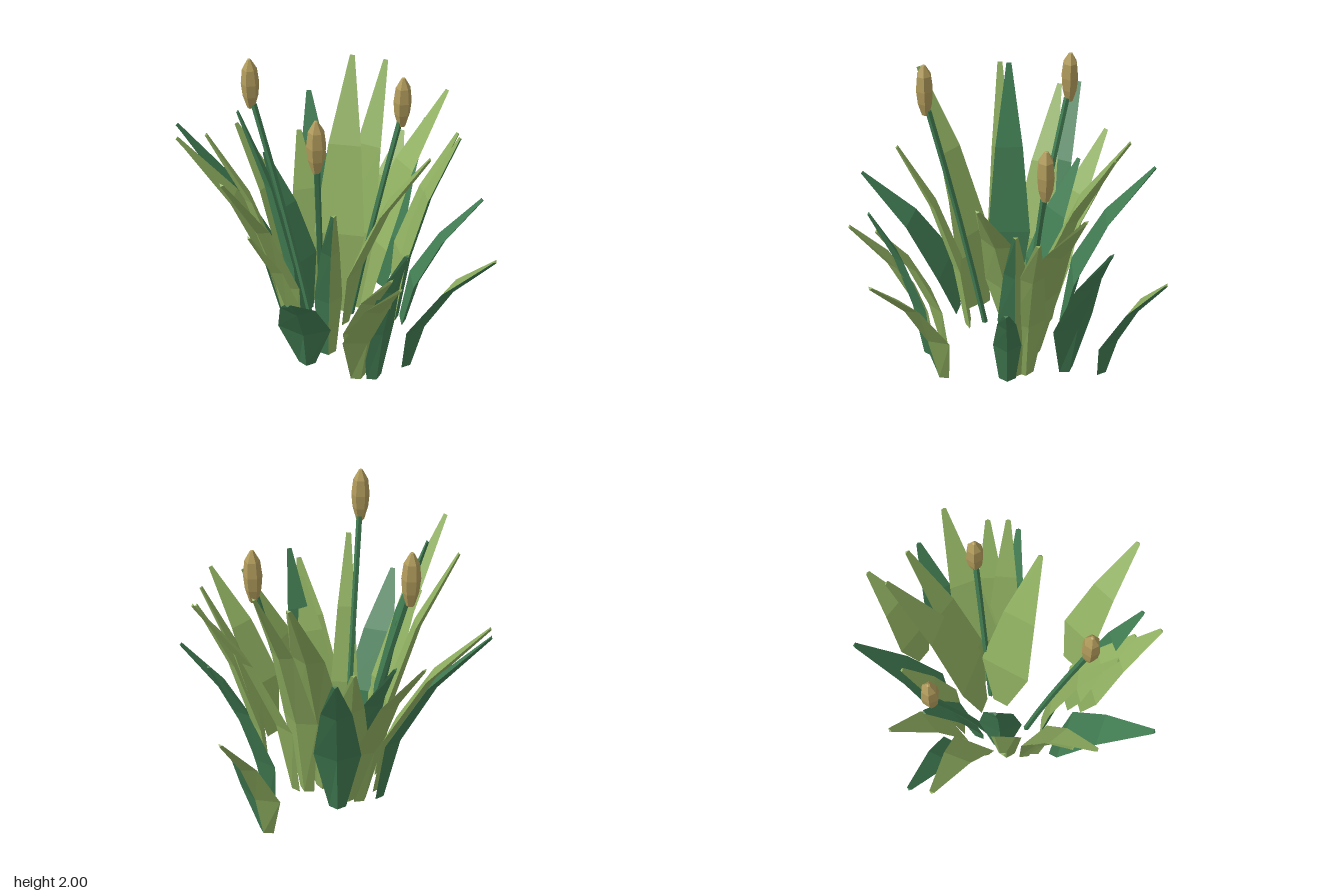
import * as THREE from 'three';

const mat = (name, color) => {
  const m = new THREE.MeshStandardMaterial({ color, flatShading: true });
  m.name = name;
  return m;
};

// Folded blade: triangular cross-sections swept along an outward-bending path.
// Material 0 covers the inner face and right outer half, material 1 the left outer half.
function bladeGeometry([bx, bz], [tx, ty, tz], width) {
  const out = new THREE.Vector3(tx - bx, 0, tz - bz);
  const reach = out.length();
  out.normalize();
  const side = new THREE.Vector3(0, 1, 0).cross(out);
  const stations = [ // height fraction, half width, ridge depth
    [0, 0.055, 0.035],
    [0.36, width / 2, 0.055],
    [0.7, width * 0.32, 0.04],
    [1, 0.016, 0.015],
  ];
  const rings = stations.map(([t, w, d]) => {
    const c = new THREE.Vector3(bx, ty * t, bz).addScaledVector(out, reach * t * t);
    // the ridge points away from the clump, square to the path
    const slope = t === 0 ? 0 : (2 * t * reach) / ty;
    const ridge = out.clone().setY(-slope).normalize();
    return [
      c.clone().addScaledVector(side, -w),
      c.clone().addScaledVector(side, w),
      c.clone().addScaledVector(ridge, d),
    ];
  });
  const pts = [...rings[0], ...rings[rings.length - 1].slice().reverse()];
  for (let a = 0; a < 3; a++) {
    const b = (a + 1) % 3;
    for (let i = 0; i < rings.length - 1; i++) {
      const lo = rings[i], hi = rings[i + 1];
      pts.push(lo[a], hi[a], lo[b], lo[b], hi[a], hi[b]);
    }
  }
  const g = new THREE.BufferGeometry().setFromPoints(pts);
  const half = 6 * (rings.length - 1);
  g.addGroup(0, pts.length - half, 0);
  g.addGroup(pts.length - half, half, 1);
  g.computeVertexNormals();
  return g;
}

export function createModel() {
  const group = new THREE.Group();
  const lightGreen = mat('light green', 0x8faf60);
  const darkGreen = mat('dark green', 0x417c52);
  const tan = mat('seed head tan', 0xb29c5c);

  const add = (name, geometry, material) => {
    const m = new THREE.Mesh(geometry, material);
    m.name = name;
    group.add(m);
    return m;
  };

  // Blades: base (x, z), tip (x, y, z), widest width
  const lightBlades = [
    [[-0.2, -0.3], [-0.55, 1.27, -0.69], 0.28],
    [[-0.12, -0.3], [-0.14, 1.2, -0.65], 0.26],
    [[0.04, -0.17], [0.23, 1.69, -0.73], 0.34],
    [[0.15, -0.2], [0.43, 1.7, -0.62], 0.26],
    [[0.22, -0.18], [0.8, 1.55, -0.43], 0.3],
    [[0.4, -0.12], [0.81, 1.39, -0.16], 0.24],
    [[0.07, -0.06], [0.55, 1.45, 0.18], 0.35],
    [[0.07, 0.49], [0.22, 1.11, 0.96], 0.3],
    [[0.08, 0.4], [0.2, 1.05, 0.8], 0.27],
    [[-0.29, 0.13], [-0.74, 1.66, 0.53], 0.22],
    [[-0.27, 0.2], [-0.59, 1.17, 0.41], 0.2],
    [[-0.3, 0], [-0.78, 1.66, 0], 0.2],
    [[-0.3, -0.18], [-0.95, 1.38, -0.41], 0.28],
  ];
  const twoToneBlades = [
    [[0.4, -0.62], [0.63, 0.92, -0.95], 0.31],
    [[0.41, -0.05], [0.79, 1.44, -0.03], 0.22],
    [[0.4, 0.42], [0.82, 1.12, 0.81], 0.28],
    [[-0.09, 0.23], [-0.12, 1.46, 0.66], 0.18],
  ];
  const darkBlades = [
    [[-0.05, -0.38], [-0.03, 1.32, -0.94], 0.3],
    [[-0.32, -0.26], [-0.94, 1.4, -0.54], 0.26],
    [[-0.16, -0.2], [-0.39, 1.15, -0.5], 0.28],
    [[0.38, -0.39], [0.71, 1.23, -0.6], 0.31],
    [[0.45, 0], [0.95, 0.99, 0.03], 0.18],
    [[0.17, 0.51], [0.28, 1.25, 0.83], 0.22],
    [[-0.24, 0.31], [-0.43, 1.05, 0.92], 0.34],
    [[-0.24, -0.04], [-0.58, 1.77, -0.05], 0.28],
  ];
  for (const b of lightBlades) add('lightBlade', bladeGeometry(...b), [lightGreen, lightGreen]);
  for (const b of twoToneBlades) add('twoToneBlade', bladeGeometry(...b), [lightGreen, darkGreen]);
  for (const b of darkBlades) add('darkBlade', bladeGeometry(...b), [darkGreen, darkGreen]);

  // Six-sided seed head, outlined from bottom to top
  const headProfile = [[0, 0], [0.025, 0], [0.05, 0.09], [0.058, 0.18], [0.047, 0.28], [0.012, 0.345], [0, 0.35]]
    .map(([r, y]) => new THREE.Vector2(r, y));
  const headGeometry = new THREE.LatheGeometry(headProfile, 6).rotateY(Math.PI / 6);

  // Reeds: stem base (x, z) and seed head bottom (x, y, z)
  const reeds = [
    [[-0.15, -0.13], [-0.47, 1.55, -0.43]],
    [[-0.11, 0.13], [-0.19, 1.65, 0.48]],
    [[0.13, -0.13], [0.46, 1.45, -0.22]],
  ];
  for (const [[bx, bz], [hx, hy, hz]] of reeds) {
    const along = (f, y) => new THREE.Vector3(bx + (hx - bx) * f, y, bz + (hz - bz) * f);
    const path = new THREE.QuadraticBezierCurve3(along(0, 0), along(0.4, hy * 0.5), along(0.95, hy + 0.03));
    add('reedStem', new THREE.TubeGeometry(path, 4, 0.02, 5), darkGreen);
    add('seedHead', headGeometry, tan).position.set(hx, hy, hz);
  }
  return group;
}
